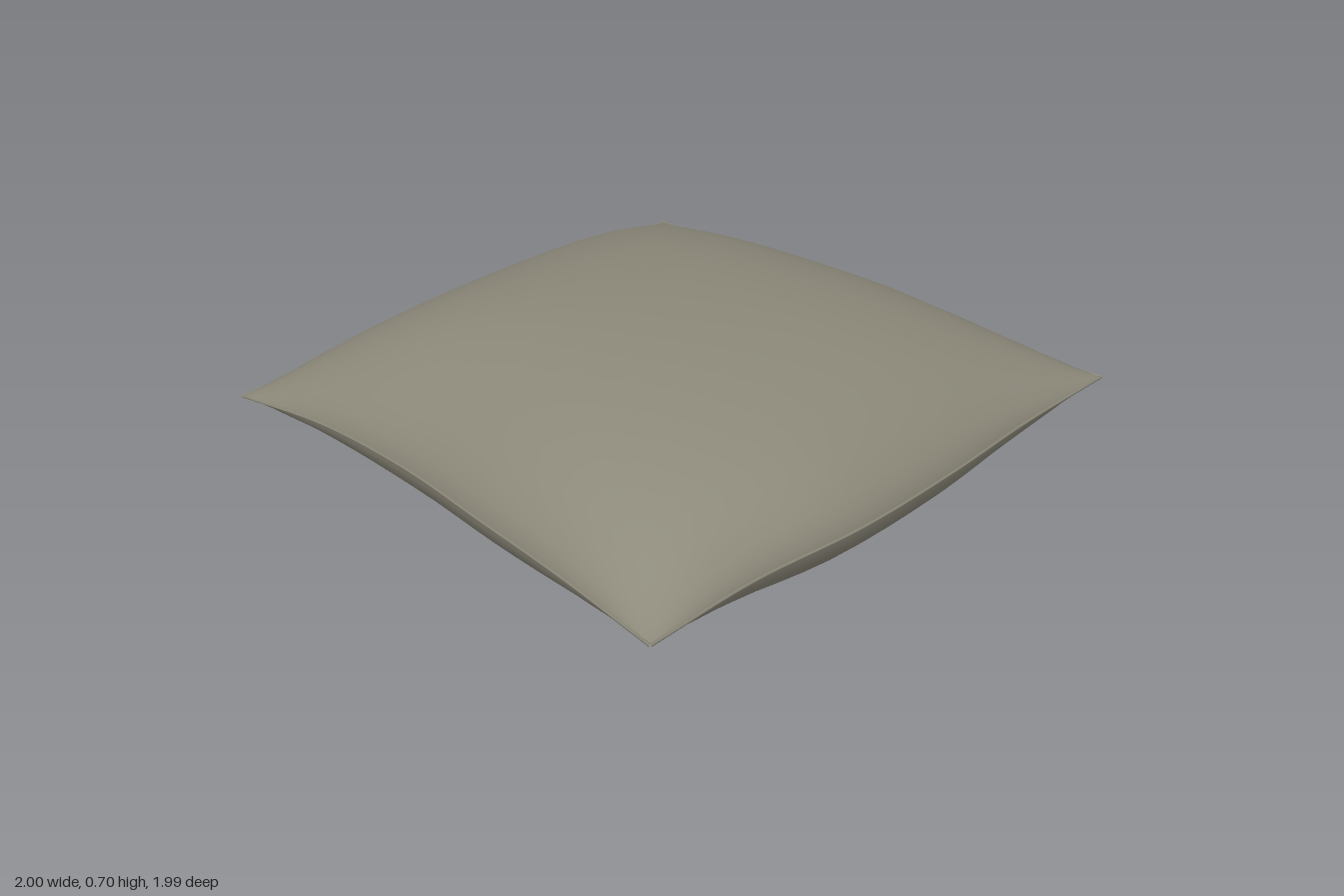
import * as THREE from 'three';

const V = (p) => new THREE.Vector3(...p);
const edge = (pts) => new THREE.CatmullRomCurve3(pts.map(V));

// Four seam edges, evenly spaced points: sides run back to front, the others -x to +x
const BL = [-0.94, 0.31, -0.995], BR = [0.93, 0.365, -0.98];
const FL = [-0.995, 0.355, 0.96], FR = [0.995, 0.405, 0.95];
const left = edge([BL, [-0.90, 0.345, -0.6], [-0.89, 0.35, -0.21], [-0.92, 0.353, 0.18], [-0.95, 0.354, 0.57], FL]);
const right = edge([BR, [0.90, 0.37, -0.59], [0.91, 0.378, -0.2], [0.94, 0.387, 0.18], [0.96, 0.396, 0.57], FR]);
const back = edge([BL, [-0.57, 0.35, -0.955], [-0.19, 0.358, -0.95], [0.18, 0.362, -0.96], [0.56, 0.365, -0.975], BR]);
const front = edge([FL, [-0.6, 0.365, 0.95], [-0.2, 0.375, 0.985], [0.2, 0.385, 0.98], [0.6, 0.395, 0.955], FR]);

// Surface stretched between the four edges
function seamSurface(s, t) {
  const p = new THREE.Vector3();
  p.addScaledVector(left.getPoint(t), 1 - s).addScaledVector(right.getPoint(t), s);
  p.addScaledVector(back.getPoint(s), 1 - t).addScaledVector(front.getPoint(s), t);
  p.addScaledVector(V(BL), -(1 - s) * (1 - t)).addScaledVector(V(BR), -s * (1 - t));
  return p.addScaledVector(V(FL), -(1 - s) * t).addScaledVector(V(FR), -s * t);
}

// Plump cross-section that falls steeply at the seam
const puff = (u) => Math.pow(Math.max(0, 1 - Math.pow(Math.abs(u), 2.3)), 0.62);

// One half of the cushion, inflated up or down
function cushionHalf(height) {
  const n = 28, pos = [], index = [];
  const up = height > 0;
  for (let j = 0; j <= n; j++) {
    for (let i = 0; i <= n; i++) {
      const u = Math.sin((i / n - 0.5) * Math.PI);
      const v = Math.sin((j / n - 0.5) * Math.PI);
      const p = seamSurface((u + 1) / 2, (v + 1) / 2);
      pos.push(p.x, p.y + height * puff(u) * puff(v), p.z);
      if (i < n && j < n) {
        const a = j * (n + 1) + i, b = a + 1, c = a + n + 1, d = c + 1;
        index.push(...(up ? [a, c, b, b, c, d] : [a, b, c, b, d, c]));
      }
    }
  }
  const g = new THREE.BufferGeometry();
  g.setAttribute('position', new THREE.Float32BufferAttribute(pos, 3));
  g.setIndex(index);
  g.computeVertexNormals();
  return g;
}

export function createModel() {
  const group = new THREE.Group();
  group.name = 'cushion';
  const fabric = new THREE.MeshStandardMaterial({ color: 0x8a8778 });
  fabric.name = 'olive grey fabric';

  const add = (name, geometry) => {
    const mesh = new THREE.Mesh(geometry, fabric);
    mesh.name = name;
    group.add(mesh);
  };
  add('topCover', cushionHalf(0.32));
  add('bottomCover', cushionHalf(-0.378));

  // Thin stitched seam around the rim
  Object.entries({ left, right, back, front }).forEach(([side, curve]) => {
    const name = { left: 'rightSeam', right: 'leftSeam', back: 'backSeam', front: 'frontSeam' }[side];
    add(name, new THREE.TubeGeometry(curve, 32, 0.005, 6));
  });
  return group;
}
